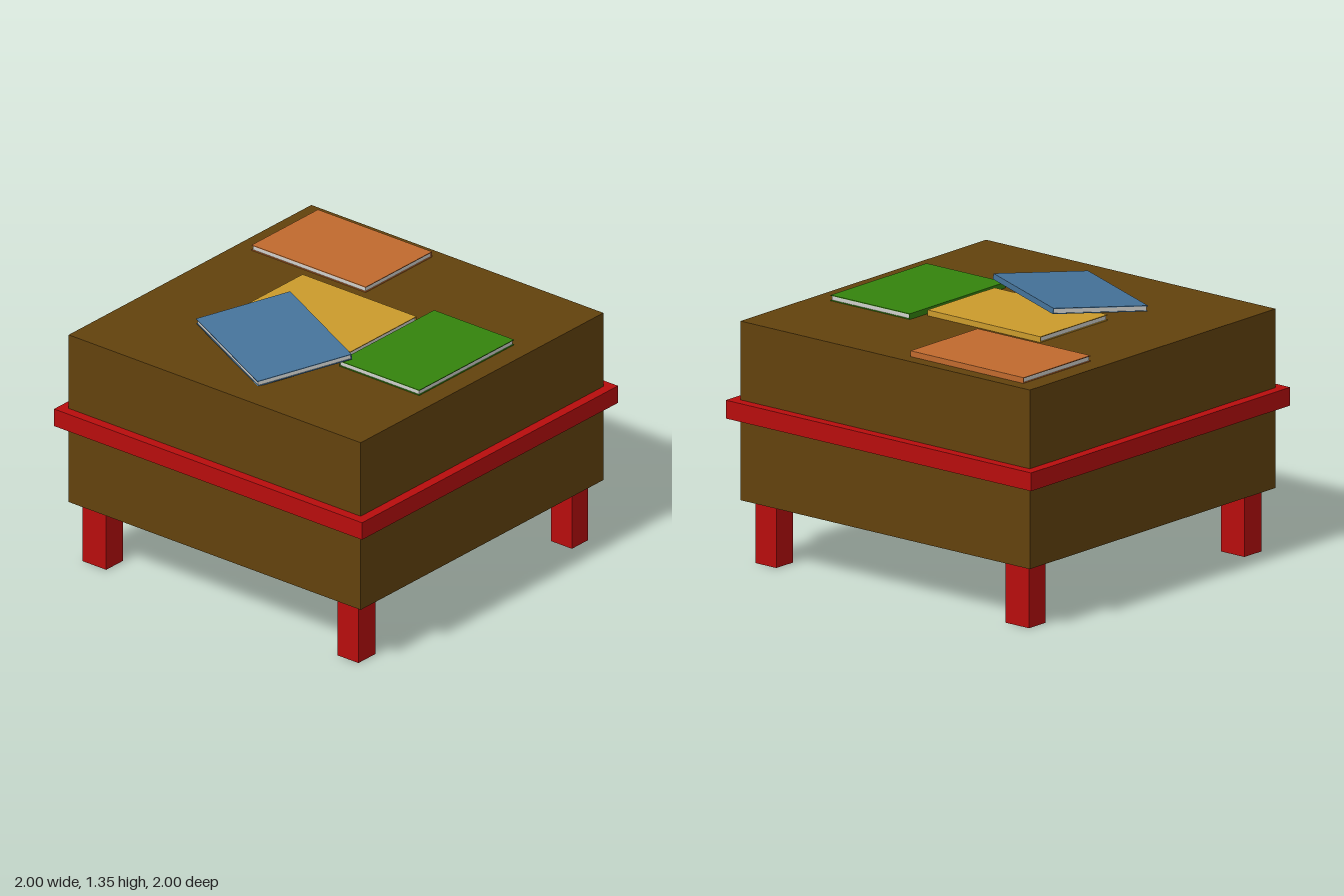
import * as THREE from 'three';

const mat = (name, color) => {
  const m = new THREE.MeshStandardMaterial({ color });
  m.name = name;
  return m;
};

export function createModel() {
  const model = new THREE.Group();
  model.name = 'tableWithBooks';

  const brown = mat('brown wood', 0x62420d);
  const red = mat('red trim', 0xb70d0d);
  const paper = mat('paper', 0xd0d0cc);

  // Box spanning two opposite corners
  const addBox = (parent, name, material, [x0, y0, z0], [x1, y1, z1]) => {
    const mesh = new THREE.Mesh(new THREE.BoxGeometry(x1 - x0, y1 - y0, z1 - z0), material);
    mesh.position.set((x0 + x1) / 2, (y0 + y1) / 2, (z0 + z1) / 2);
    mesh.name = name;
    parent.add(mesh);
    return mesh;
  };

  // Chest and the band around it
  addBox(model, 'body', brown, [-0.948, 0.33, -0.948], [0.948, 1.262, 0.948]);
  addBox(model, 'band', red, [-1, 0.757, -1], [1, 0.852, 1]);

  // Four legs, the right pair slightly wider
  for (const [side, x0, x1] of [['Right', -0.895, -0.742], ['Left', 0.76, 0.896]]) {
    for (const [end, z0, z1] of [['front', 0.77, 0.903], ['back', -0.892, -0.765]]) {
      addBox(model, `${end}${side}Leg`, red, [x0, 0, z0], [x1, 0.33, z1]);
    }
  }

  // Hardback: two covers, a spine along the back long edge, inset pages
  const W = 0.74, D = 0.518, H = 0.03, T = 0.004, inset = 0.005;
  const addBook = (name, color, position, rotation = [0, 0, 0]) => {
    const book = new THREE.Group();
    const cover = mat(`${name} cover`, color);
    const w = W / 2, d = D / 2, h = H / 2;
    addBox(book, 'topCover', cover, [-w, h - T, -d], [w, h, d]);
    addBox(book, 'bottomCover', cover, [-w, -h, -d], [w, -h + T, d]);
    addBox(book, 'spine', cover, [-w, -h + T, -d], [w, h - T, -d + T]);
    addBox(book, 'pages', paper, [-w + inset, -h + T, -d + T], [w - inset, h - T, d - inset]);
    book.position.set(...position);
    book.rotation.set(...rotation, 'YXZ');
    book.name = `${name}Book`;
    model.add(book);
  };

  const flatY = 1.278;
  addBook('orange', 0xc06a2e, [-0.48, flatY, -0.623]);
  addBook('yellow', 0xcb9b2c, [-0.074, flatY, -0.014]);
  addBook('green', 0x34830d, [0.577, flatY, -0.014], [0, Math.PI / 2, 0]);
  // Blue book leans on its neighbours
  addBook('blue', 0x457299, [-0.074, 1.305, 0.395], [0.09, -0.452, -0.022]);

  return model;
}
